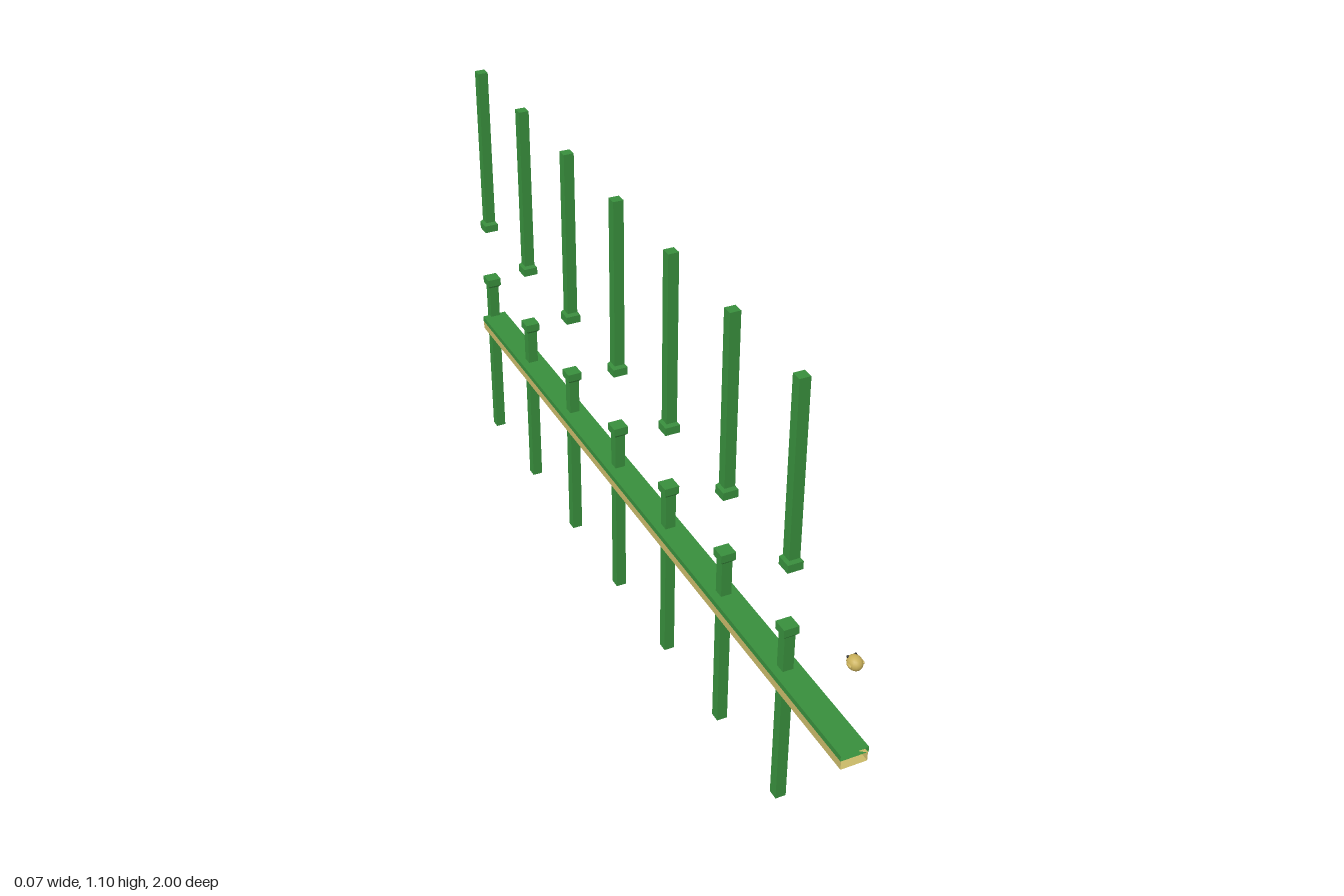
import * as THREE from 'three';

const mat = (name, color, side = THREE.FrontSide) => {
  const m = new THREE.MeshStandardMaterial({ color, side });
  m.name = name;
  return m;
};

export function createModel() {
  const model = new THREE.Group();
  model.name = 'pipeCourse';
  const green = mat('green', 0x388e3c, THREE.DoubleSide);
  const tan = mat('tan', 0xc8b868, THREE.DoubleSide);
  const yellow = mat('yellow', 0xc9b05a);
  const orange = mat('orange', 0xc8743c);
  const black = mat('black', 0x222222);

  const add = (parent, name, geo, material, x = 0, y = 0, z = 0) => {
    const mesh = new THREE.Mesh(geo, material);
    mesh.name = name;
    mesh.position.set(x, y, z);
    parent.add(mesh);
    return mesh;
  };

  // Ground strip: box sides only, open at both ends
  const sleeve = (w, h, length) => {
    const geo = new THREE.BoxGeometry(w, h, length);
    geo.setIndex(Array.from(geo.index.array.slice(0, 24)));
    geo.clearGroups();
    return geo;
  };
  add(model, 'grass', sleeve(0.066, 0.014, 1.98), green, 0, 0.364, 0.01);
  add(model, 'soil', sleeve(0.063, 0.023, 1.98), tan, 0, 0.3455, 0.01);

  // Square pipe with a rim whose far edge is bevelled; local origin at the mouth, pipe runs down
  const makePipe = (name, length) => {
    const pipe = new THREE.Group();
    pipe.name = name;
    add(pipe, 'shaft', new THREE.BoxGeometry(0.026, length - 0.02, 0.026), green, 0, -(length + 0.02) / 2, 0);
    add(pipe, 'rim', new THREE.BoxGeometry(0.037, 0.02, 0.037), green, 0, -0.01, 0);
    const bevel = new THREE.CylinderGeometry(0.0185 * Math.SQRT2, 0.013 * Math.SQRT2, 0.007, 4, 1, true)
      .rotateY(Math.PI / 4).toNonIndexed();
    bevel.computeVertexNormals();
    add(pipe, 'rimBevel', bevel, green, 0, -0.0235, 0);
    return pipe;
  };

  // Seven pairs of pipes
  for (let i = 0; i < 7; i++) {
    const z = -0.981 + i * 0.2825;
    const lower = makePipe('lowerPipe', 0.49);
    lower.position.set(0, 0.49, z);
    const upper = makePipe('upperPipe', 0.46);
    upper.position.set(0, 0.64, z);
    upper.rotation.z = Math.PI;
    model.add(lower, upper);
  }

  // Small bird flying towards the pipes (-z)
  const bird = new THREE.Group();
  bird.name = 'bird';
  bird.position.set(0, 0.583, 0.972);
  model.add(bird);
  add(bird, 'body', new THREE.SphereGeometry(0.016, 16, 12), yellow).scale.z = 1.2;
  add(bird, 'beak', new THREE.ConeGeometry(0.006, 0.012, 8).rotateX(-Math.PI / 2), orange, 0, -0.003, -0.021);
  for (const s of [-1, 1]) {
    add(bird, 'wing', new THREE.SphereGeometry(0.007, 10, 8), yellow, s * 0.0145, 0, 0.003).scale.set(0.5, 0.6, 1.2);
    add(bird, 'eye', new THREE.SphereGeometry(0.003, 8, 6), black, s * 0.009, 0.009, -0.012);
  }
  return model;
}
